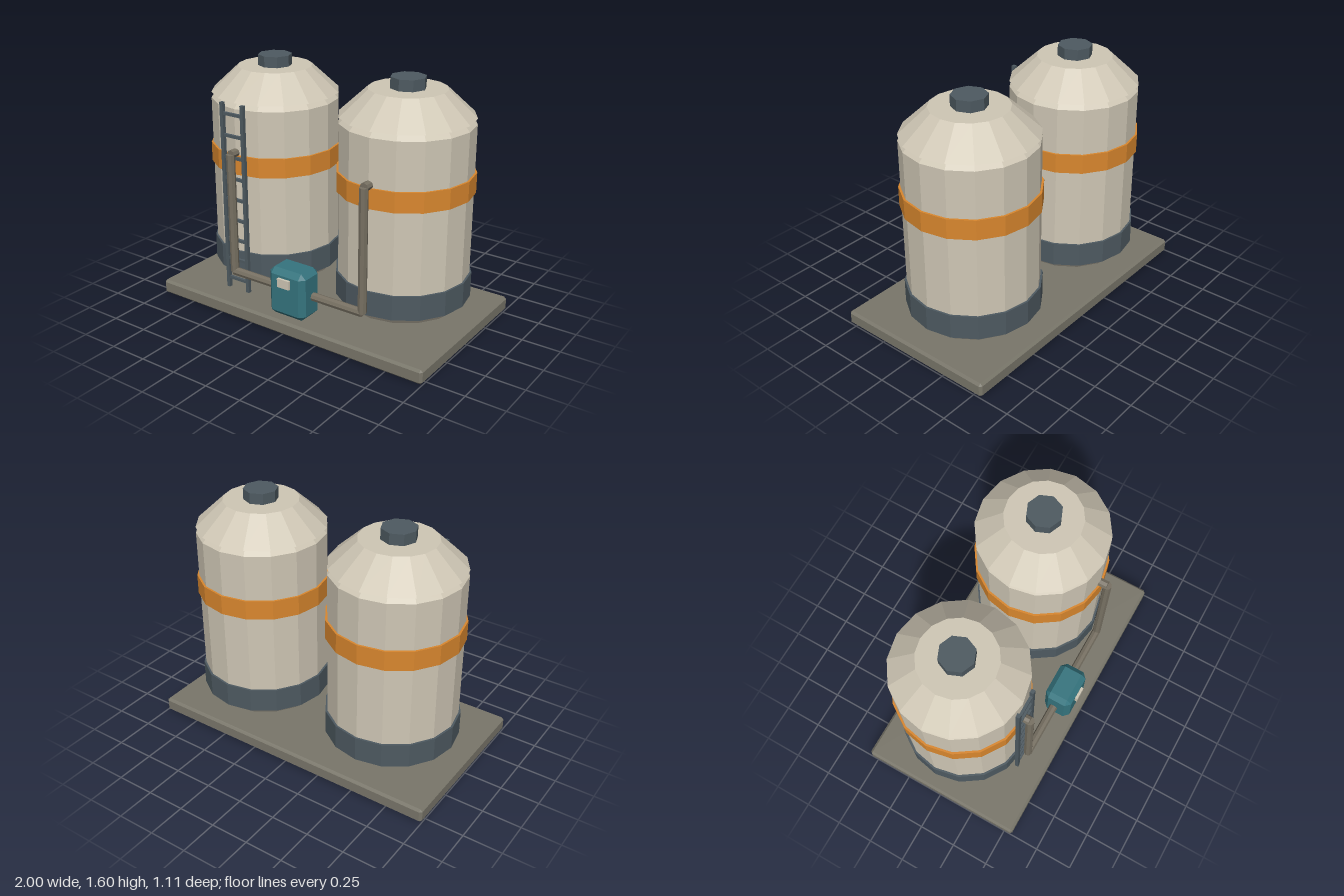
import * as THREE from 'three';
import { ConvexGeometry } from 'three/addons/geometries/ConvexGeometry.js';

const flat = (name, color) => new THREE.MeshStandardMaterial({ name, color, flatShading: true });

// Box with all edges cut at 45 degrees
function chamferedBox(w, h, d, c) {
  const points = [];
  for (const x of [-1, 1]) for (const y of [-1, 1]) for (const z of [-1, 1]) {
    const X = w / 2, Y = h / 2, Z = d / 2;
    points.push(
      new THREE.Vector3(x * X, y * (Y - c), z * (Z - c)),
      new THREE.Vector3(x * (X - c), y * Y, z * (Z - c)),
      new THREE.Vector3(x * (X - c), y * (Y - c), z * Z));
  }
  return new ConvexGeometry(points);
}

export function createModel() {
  const cream = flat('cream', 0xcfc7b5);
  const orange = flat('orange', 0xd9872e);
  const slate = flat('slate', 0x4e5a61);
  const teal = flat('teal', 0x35747e);
  const concrete = flat('concrete', 0x79766a);
  const pipeGrey = flat('pipeGrey', 0x777062);

  const model = new THREE.Group();
  model.name = 'storageTanks';

  function add(parent, name, geometry, material, x = 0, y = 0, z = 0) {
    const mesh = new THREE.Mesh(geometry, material);
    mesh.name = name;
    mesh.position.set(x, y, z);
    parent.add(mesh);
    return mesh;
  }

  // Cylinder standing between two heights
  function drum(parent, name, rTop, rBottom, y0, y1, sides, material) {
    add(parent, name, new THREE.CylinderGeometry(rTop, rBottom, y1 - y0, sides), material, 0, (y0 + y1) / 2, 0);
  }

  // Straight pipe between two points
  function pipe(name, from, to) {
    const a = new THREE.Vector3(...from), b = new THREE.Vector3(...to);
    const dir = b.clone().sub(a);
    const mesh = add(model, name, new THREE.CylinderGeometry(0.028, 0.028, dir.length(), 8), pipeGrey);
    mesh.position.copy(a).add(b).multiplyScalar(0.5);
    mesh.quaternion.setFromUnitVectors(new THREE.Vector3(0, 1, 0), dir.normalize());
  }

  // Base slab
  add(model, 'baseSlab', chamferedBox(2, 0.095, 1.11, 0.015), concrete, 0, 0.0475, 0);

  // Tanks, each with its riser pipe
  const tankX = 0.496, tankZ = -0.065, pipeY = 0.242, pipeZ = 0.4, outletY = 1.043;
  const profile = [[0, 0.165], [0.375, 0.165], [0.415, 0.207], [0.415, 1.325], [0.375, 1.366], [0, 1.366]]
    .map(([r, y]) => new THREE.Vector2(r, y));
  for (const side of [-1, 1]) {
    const tank = new THREE.Group();
    tank.name = side > 0 ? 'leftTank' : 'rightTank';
    tank.position.set(side * tankX, 0, tankZ);
    model.add(tank);
    add(tank, 'tankBody', new THREE.LatheGeometry(profile, 16), cream);
    drum(tank, 'tankRoof', 0.24, 0.415, 1.362, 1.525, 16, cream);
    drum(tank, 'roofCap', 0.11, 0.11, 1.525, 1.595, 8, slate);
    drum(tank, 'middleBand', 0.428, 0.428, 0.9, 1.027, 16, orange);
    drum(tank, 'lowerBand', 0.428, 0.428, 0.21, 0.369, 16, slate);

    const x = side * tankX;
    pipe('riserPipe', [x, pipeY, pipeZ], [x, outletY, pipeZ]);
    pipe('outletPipe', [x, outletY, pipeZ], [x, outletY, 0.335]);
    pipe('feedPipe', [x, pipeY, pipeZ], [0, pipeY, pipeZ]);
  }

  // Ladder on the right tank
  const ladder = new THREE.Group();
  ladder.name = 'ladder';
  ladder.position.set(-0.498, 0, 0.366);
  model.add(ladder);
  for (const side of [-1, 1]) {
    add(ladder, 'ladderRail', new THREE.BoxGeometry(0.024, 1.268, 0.024), slate, side * 0.081, 0.729, 0);
  }
  for (let i = 0; i < 9; i++) {
    add(ladder, 'ladderRung', new THREE.BoxGeometry(0.16, 0.019, 0.018), slate, 0, 0.166 + i * 0.1408, 0);
  }

  // Pump box with its gauge plate
  add(model, 'pumpBox', chamferedBox(0.272, 0.32, 0.19, 0.034), teal, -0.002, 0.255, 0.415);
  add(model, 'gaugePlate', new THREE.BoxGeometry(0.09, 0.058, 0.03), cream, -0.004, 0.337, 0.512);

  return model;
}
